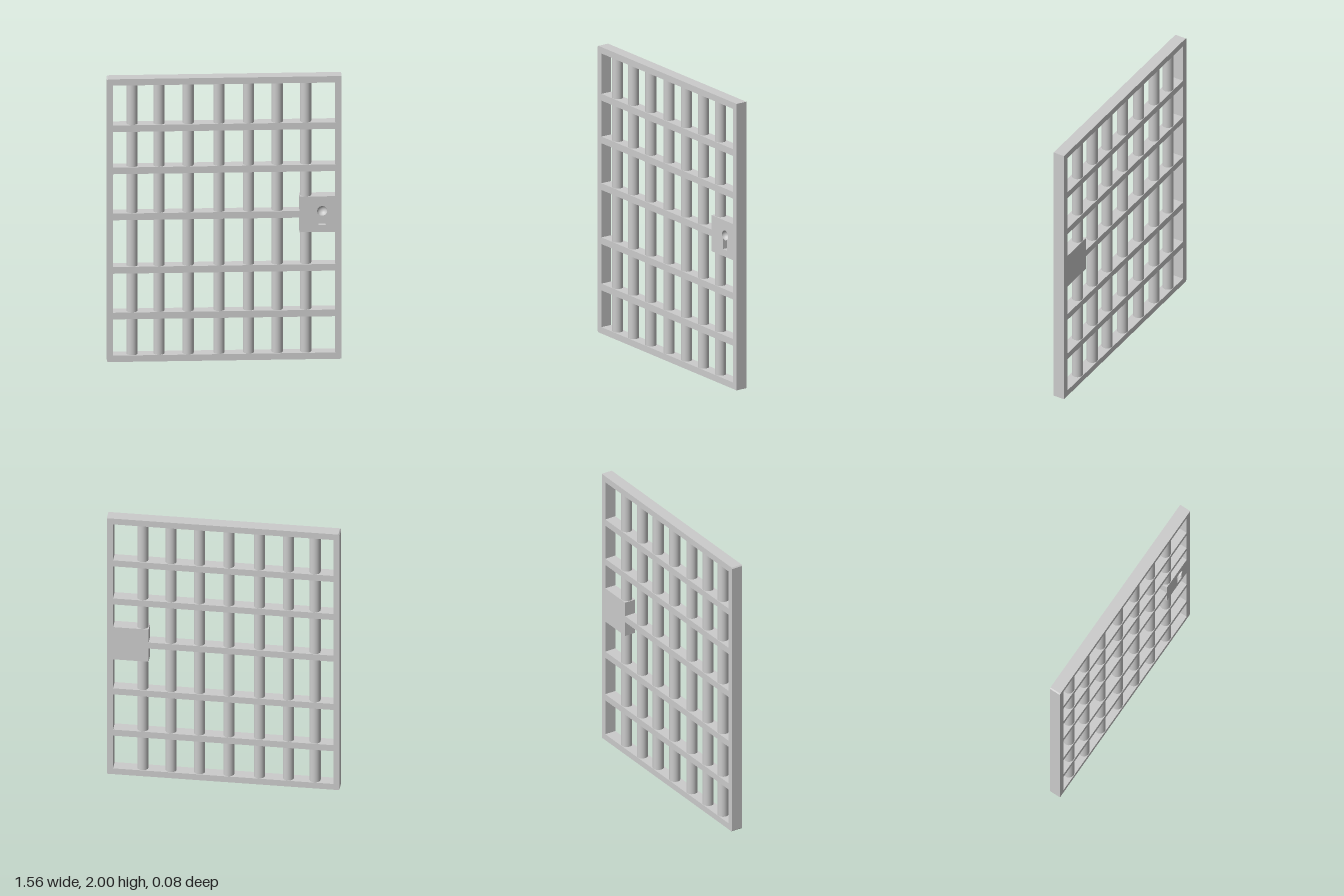
import * as THREE from 'three';

const DEPTH = 0.08;
const material = new THREE.MeshStandardMaterial({ color: 0xcccccc });
const hollowMaterial = new THREE.MeshStandardMaterial({ color: 0xcccccc, side: THREE.DoubleSide });

function polygon(points, Type = THREE.Shape) {
  return new Type(points.map(([x, y]) => new THREE.Vector2(x, y)));
}

function rect(x0, y0, x1, y1, Type) {
  return polygon([[x0, y0], [x1, y0], [x1, y1], [x0, y1]], Type);
}

function slab(shape, z0, z1) {
  const geometry = new THREE.ExtrudeGeometry(shape, { depth: z1 - z0, bevelEnabled: false, curveSegments: 24 });
  return geometry.translate(0, 0, z0);
}

export function createModel() {
  const door = new THREE.Group();
  door.name = 'barredDoor';
  const add = (name, geometry, mat = material, parent = door) => {
    const mesh = new THREE.Mesh(geometry, mat);
    mesh.name = name;
    parent.add(mesh);
    return mesh;
  };
  const half = DEPTH / 2;

  // Outer frame, with the two hinge-side corners slightly clipped
  const c = 0.008;
  const outline = polygon([
    [-0.78 + c, 0], [0.78, 0], [0.78, 2], [-0.78 + c, 2], [-0.78, 2 - c], [-0.78, c],
  ]);
  outline.holes.push(rect(-0.738, 0.045, 0.738, 1.955, THREE.Path));
  add('frame', slab(outline, -half, half));

  // Horizontal rails; the middle one stops at the lock
  for (const y of [0.325, 0.648, 1.026, 1.352, 1.65]) {
    const end = y === 1.026 ? 0.5 : 0.738;
    add('rail', slab(rect(-0.738, y - 0.0235, end, y + 0.0235), -half, half));
  }

  // Round vertical bars
  for (const x of [-0.611, -0.432, -0.238, -0.033, 0.164, 0.354, 0.543]) {
    add('bar', new THREE.CylinderGeometry(0.037, 0.037, 1.93, 32)).position.set(x, 1, 0);
  }

  // Lock: solid back layer and a front layer pierced by the keyhole
  const lock = new THREE.Group();
  lock.name = 'lock';
  door.add(lock);
  const floorZ = 0.005, kx = 0.651, ky = 1.048, r = 0.034, w = 0.024;
  const plate = () => rect(0.5, 0.899, 0.738, 1.151);
  add('lockBack', slab(plate(), -half, floorZ), material, lock);
  const face = plate();
  const a = Math.asin(w / r);
  const keyhole = new THREE.Path();
  keyhole.moveTo(kx - w, 0.947);
  keyhole.lineTo(kx + w, 0.947);
  keyhole.absarc(kx, ky, r, -Math.PI / 2 + a, Math.PI * 1.5 - a, false);
  keyhole.closePath();
  face.holes.push(keyhole);
  add('lockFace', slab(face, floorZ, half), material, lock);

  // Rounded hollow at the top of the keyhole
  const bowl = new THREE.SphereGeometry(r, 32, 12, 0, Math.PI * 2, 0, Math.PI / 2).rotateX(-Math.PI / 2);
  add('keyholeBowl', bowl, hollowMaterial, lock).position.set(kx, ky, half);

  return door;
}
